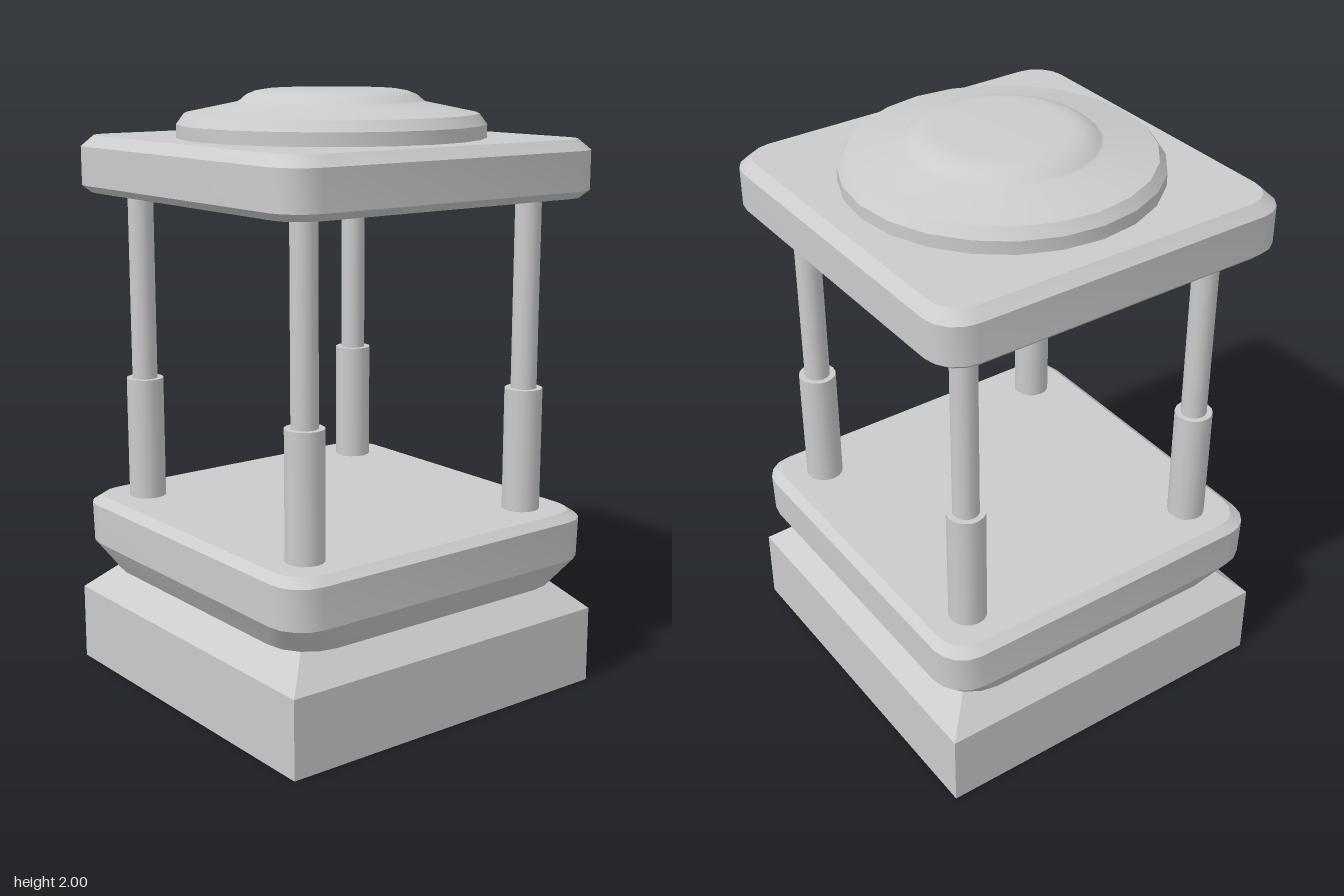
import * as THREE from 'three';
import { toCreasedNormals } from 'three/addons/utils/BufferGeometryUtils.js';

const material = new THREE.MeshStandardMaterial({ color: 0xcccccc, side: THREE.DoubleSide });

// Corners of a rounded square in plan, counted from +x towards +z
function outline(half, radius, steps = 4) {
  const points = [];
  for (let corner = 0; corner < 4; corner++) {
    const mid = (corner + 0.5) * Math.PI / 2;
    const cx = Math.sign(Math.cos(mid)) * (half - radius);
    const cz = Math.sign(Math.sin(mid)) * (half - radius);
    for (let i = 0; i <= steps; i++) {
      const a = (corner + i / steps) * Math.PI / 2;
      points.push(new THREE.Vector2(cx + radius * Math.cos(a), cz + radius * Math.sin(a)));
    }
  }
  return points;
}

// Walls through rounded squares given as [y, half width, corner radius], bottom to top
function wall(levels) {
  const rings = levels.map(([y, half, radius]) =>
    outline(half, radius).map((p) => new THREE.Vector3(p.x, y, p.y)));
  const positions = [];
  for (let k = 0; k + 1 < rings.length; k++) {
    const lower = rings[k], upper = rings[k + 1];
    for (let i = 0; i < lower.length; i++) {
      const j = (i + 1) % lower.length;
      for (const v of [lower[i], upper[i], upper[j], lower[i], upper[j], lower[j]]) {
        positions.push(v.x, v.y, v.z);
      }
    }
  }
  const geometry = new THREE.BufferGeometry();
  geometry.setAttribute('position', new THREE.Float32BufferAttribute(positions, 3));
  return toCreasedNormals(geometry, 0.45);
}

// Flat lid, optionally with a square opening
function lid([y, half, radius], opening = 0) {
  const shape = new THREE.Shape(outline(half, radius));
  if (opening) {
    const o = opening;
    shape.holes.push(new THREE.Path([[-o, -o], [-o, o], [o, o], [o, -o]].map(([x, z]) => new THREE.Vector2(x, z))));
  }
  return new THREE.ShapeGeometry(shape).rotateX(-Math.PI / 2).translate(0, y, 0);
}

function add(parent, name, geometry) {
  const mesh = new THREE.Mesh(geometry, material);
  mesh.name = name;
  parent.add(mesh);
  return mesh;
}

// Hollow slab, open underneath
function addSlab(parent, name, levels, opening) {
  const slab = new THREE.Group();
  slab.name = name;
  add(slab, name + 'Wall', wall(levels));
  add(slab, name + 'Lid', lid(levels[levels.length - 1], opening));
  parent.add(slab);
}

// Square block or frustum with crisp edges
function squareBlock(bottomHalf, topHalf, y0, y1, open) {
  const geometry = new THREE.CylinderGeometry(topHalf * Math.SQRT2, bottomHalf * Math.SQRT2, y1 - y0, 4, 1, open);
  geometry.rotateY(Math.PI / 4).translate(0, (y0 + y1) / 2, 0);
  return toCreasedNormals(geometry, 0.3);
}

const profile = (points) => points.map(([r, y]) => new THREE.Vector2(r, y));

export function createModel() {
  const model = new THREE.Group();
  model.name = 'pillaredStand';

  // Square plinth with sloping shoulders
  add(model, 'plinth', new THREE.BoxGeometry(1.25, 0.26, 1.25).translate(0, 0.13, 0));
  add(model, 'plinthShoulder', squareBlock(0.625, 0.525, 0.26, 0.355, false));

  // Lower deck with undercut sides
  addSlab(model, 'lowerDeck', [
    [0.355, 0.57, 0.15], [0.45, 0.625, 0.12], [0.585, 0.625, 0.11], [0.61, 0.594, 0.1],
  ]);

  // Four pillars, each a thin rod in a thicker sleeve
  for (const x of [-0.455, 0.455]) {
    for (const z of [-0.455, 0.455]) {
      const pillar = new THREE.Group();
      pillar.name = 'pillar';
      pillar.position.set(x, 0, z);
      add(pillar, 'sleeve', new THREE.CylinderGeometry(0.063, 0.063, 0.42, 16)).position.y = 0.815;
      add(pillar, 'rod', new THREE.CylinderGeometry(0.043, 0.043, 0.64, 16)).position.y = 1.34;
      model.add(pillar);
    }
  }

  // Roof slab, open to the dome through its lid
  addSlab(model, 'roof', [
    [1.658, 0.6, 0.1], [1.682, 0.625, 0.11], [1.81, 0.625, 0.11], [1.845, 0.592, 0.1],
  ], 0.31);

  // Round rim and shallow dome on the roof
  const rim = new THREE.LatheGeometry(profile([[0.505, 1.845], [0.505, 1.888], [0.48, 1.922]]), 24);
  add(model, 'domeRim', toCreasedNormals(rim, 0.45));
  add(model, 'dome', new THREE.LatheGeometry(profile([
    [0.48, 1.922], [0.31, 1.957], [0.3, 1.963], [0.28, 1.98], [0.25, 1.992], [0.21, 1.999], [0, 2],
  ]), 24));

  return model;
}
